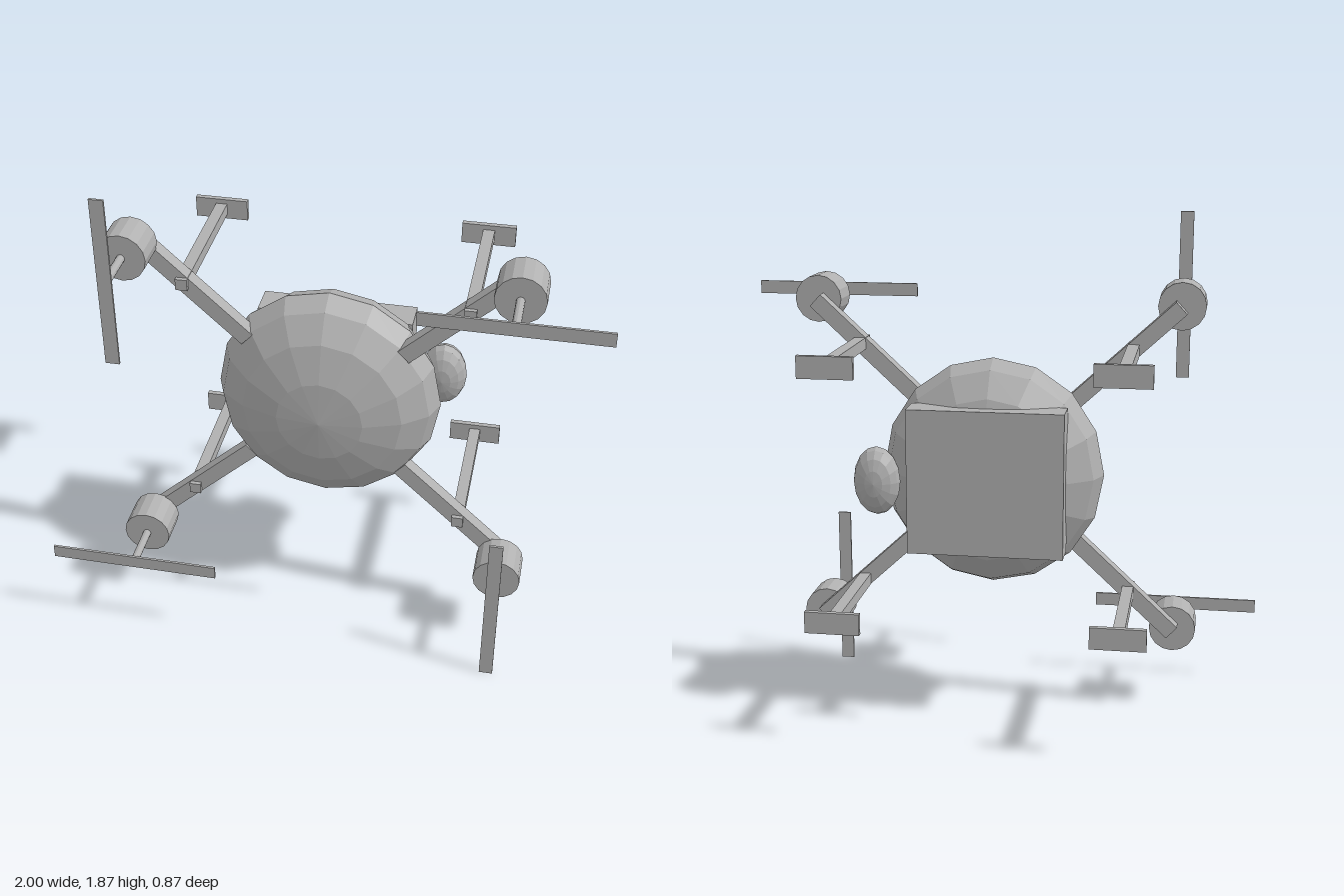
import * as THREE from 'three';

export function createModel() {
  const model = new THREE.Group();
  const grey = new THREE.MeshStandardMaterial({ color: 0xb0b0b0 });
  grey.name = 'grey';
  grey.flatShading = true;

  const add = (name, geometry, x, y, z, parent = model) => {
    const mesh = new THREE.Mesh(geometry, grey);
    mesh.name = name;
    mesh.position.set(x, y, z);
    parent.add(mesh);
    return mesh;
  };
  const box = (w, h, d) => new THREE.BoxGeometry(w, h, d);
  // Faceted ellipsoid with its poles along z
  const ellipsoid = (rx, ry, rz) =>
    new THREE.SphereGeometry(1, 16, 8).rotateX(Math.PI / 2).scale(rx, ry, rz);
  const rod = (r, length, sides) =>
    new THREE.CylinderGeometry(r, r, length, sides).rotateX(Math.PI / 2);

  const midY = 0.94;
  add('body', ellipsoid(0.415, 0.43, 0.21), 0, midY, 0.04);
  add('batteryBox', box(0.575, 0.54, 0.12), 0, midY, -0.115);
  add('cameraPod', ellipsoid(0.087, 0.128, 0.067), 0.398, midY, -0.162);

  // Four arms, each with a motor, propeller and landing leg
  for (const sx of [1, -1]) {
    for (const sy of [1, -1]) {
      const unit = new THREE.Group();
      unit.name = (sy > 0 ? 'upper' : 'lower') + (sx > 0 ? 'Left' : 'Right') + 'Rotor';
      unit.position.y = midY;
      model.add(unit);

      const inner = new THREE.Vector2(0.283 * sx, 0.252 * sy);
      const outer = new THREE.Vector2(0.68 * sx, 0.62 * sy);
      const span = outer.clone().sub(inner);
      const arm = add('arm', box(span.length(), 0.06, 0.053),
        (inner.x + outer.x) / 2, (inner.y + outer.y) / 2, 0.103, unit);
      arm.rotation.z = span.angle();

      add('motor', rod(0.088, 0.135, 16), outer.x, outer.y, 0.193, unit);
      add('shaft', rod(0.015, 0.17, 12), outer.x, outer.y, 0.343, unit);
      // Blades alternate between level and upright around the frame
      const blade = sx === sy ? box(0.635, 0.05, 0.009) : box(0.05, 0.635, 0.009);
      add('propeller', blade, outer.x, outer.y, 0.429, unit);

      add('leg', box(0.043, 0.043, 0.565), 0.51 * sx, 0.463 * sy, -0.137, unit);
      add('foot', box(0.2, 0.08, 0.02), 0.51 * sx, 0.463 * sy, -0.426, unit);
    }
  }
  return model;
}
